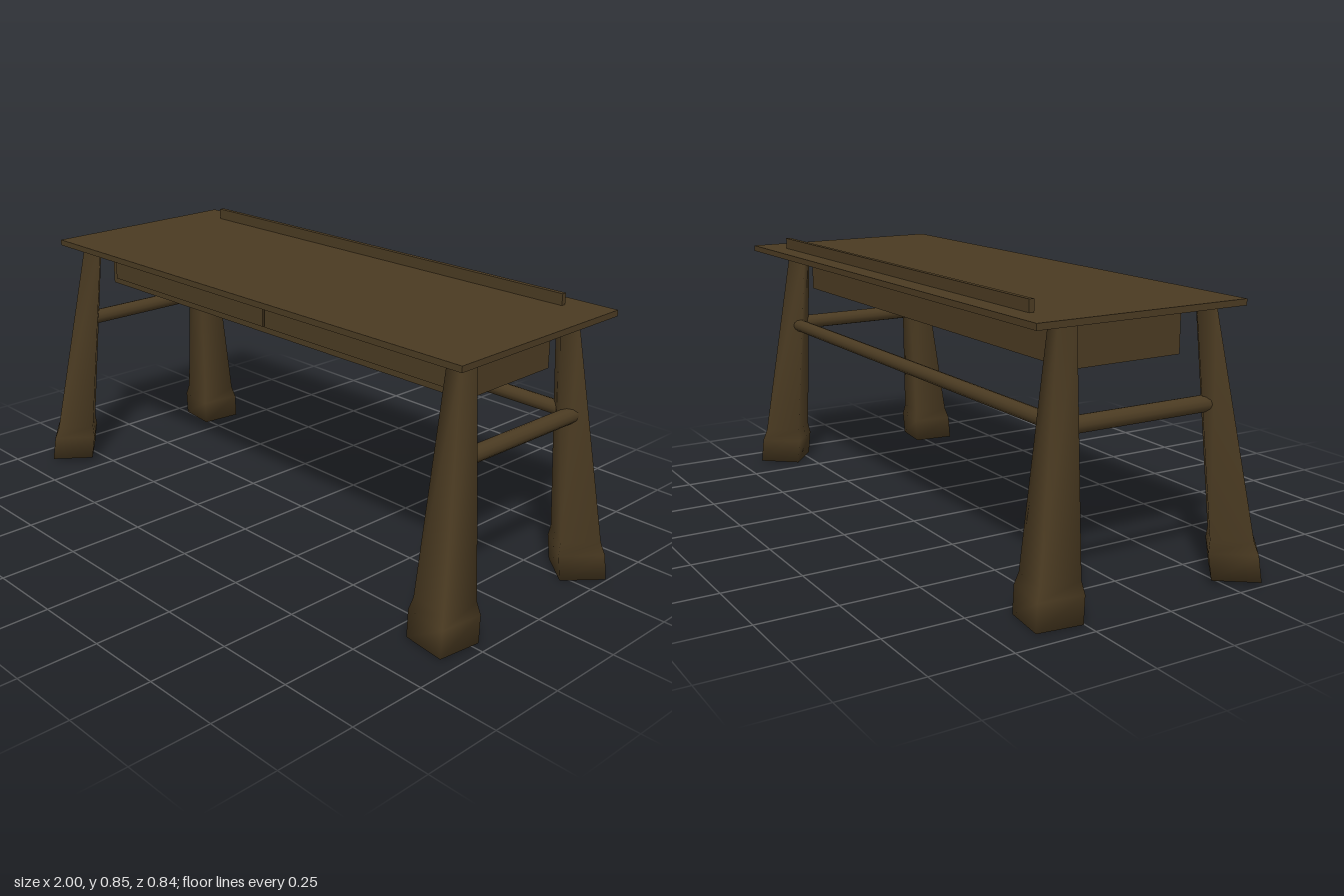
import * as THREE from 'three';
import { mergeVertices } from 'three/addons/utils/BufferGeometryUtils.js';

const SKEW = 0.0138; // slight turn of the table body against its legs

export function createModel() {
  const model = new THREE.Group();
  const wood = new THREE.MeshStandardMaterial({ name: 'darkWood', color: 0x4b3b22 });

  const add = (name, geometry, parent = model) => {
    const mesh = new THREE.Mesh(geometry, wood);
    mesh.name = name;
    parent.add(mesh);
    return mesh;
  };

  // Box given by its lower and upper limits
  const box = (name, x0, x1, y0, y1, z0, z1, parent) => {
    const mesh = add(name, new THREE.BoxGeometry(x1 - x0, y1 - y0, z1 - z0), parent);
    mesh.position.set((x0 + x1) / 2, (y0 + y1) / 2, (z0 + z1) / 2);
    return mesh;
  };

  // Table body: top, apron with drawers, rear ledge
  const body = new THREE.Group();
  body.name = 'tableBody';
  body.position.z = -0.05;
  body.rotation.y = SKEW;
  model.add(body);
  box('tableTop', -0.907, 0.907, 0.795, 0.814, -0.35, 0.35, body);
  box('apron', -0.8, 0.808, 0.655, 0.796, -0.167, 0.207, body);
  for (const s of [-1, 1]) {
    const cx = s * 0.391;
    box('drawerFront', cx - 0.386, cx + 0.386, 0.675, 0.76, 0.2, 0.213, body);
  }
  box('rearLedge', -0.775, 0.77, 0.812, 0.85, -0.283, -0.267, body);

  // Leaning square leg with a flared foot; normals run smoothly round it
  const levels = [[0.8, 0.055], [0.12, 0.123], [0.082, 0.141], [0, 0.141]]; // height, side
  const leg = (name, foot, top, turn, lift) => {
    let g = new THREE.CylinderGeometry(1, 1, 1, 4, 3, false, Math.PI / 4 - turn);
    const p = g.attributes.position;
    for (let i = 0; i < p.count; i++) {
      const [h, side] = levels[Math.round((0.5 - p.getY(i)) * 3)];
      const t = h / 0.8, r = side / Math.SQRT2;
      p.setXYZ(i,
        p.getX(i) * r + foot[0] + (top[0] - foot[0]) * t,
        lift * (1 - t) + h,
        p.getZ(i) * r + foot[1] + (top[1] - foot[1]) * t);
    }
    g.deleteAttribute('uv');
    g.deleteAttribute('normal');
    g = mergeVertices(g);
    g.computeVertexNormals();
    add(name, g);
  };
  leg('frontRightLeg', [-0.9, 0.317], [-0.838, 0.222], 0.66, 0.012);
  leg('frontLeftLeg', [0.889, 0.29], [0.835, 0.195], 0.12, 0.004);
  leg('backLeftLeg', [0.898, -0.322], [0.835, -0.264], 0.7, 0.002);
  leg('backRightLeg', [-0.871, -0.315], [-0.838, -0.258], 0.12, 0);

  // Round stretchers between the legs
  const rod = (name, a, b, r) => {
    const from = new THREE.Vector3(...a), dir = new THREE.Vector3(...b).sub(from);
    const mesh = add(name, new THREE.CylinderGeometry(r, r, dir.length(), 12));
    mesh.position.copy(from).addScaledVector(dir, 0.5);
    mesh.quaternion.setFromUnitVectors(new THREE.Vector3(0, 1, 0), dir.normalize());
  };
  rod('backStretcher', [-0.85, 0.524, -0.27], [0.85, 0.52, -0.282], 0.022);
  rod('leftStretcher', [0.868, 0.522, 0.22], [0.872, 0.52, -0.275], 0.025);
  rod('rightStretcher', [-0.86, 0.522, 0.24], [-0.853, 0.52, -0.27], 0.025);

  return model;
}
